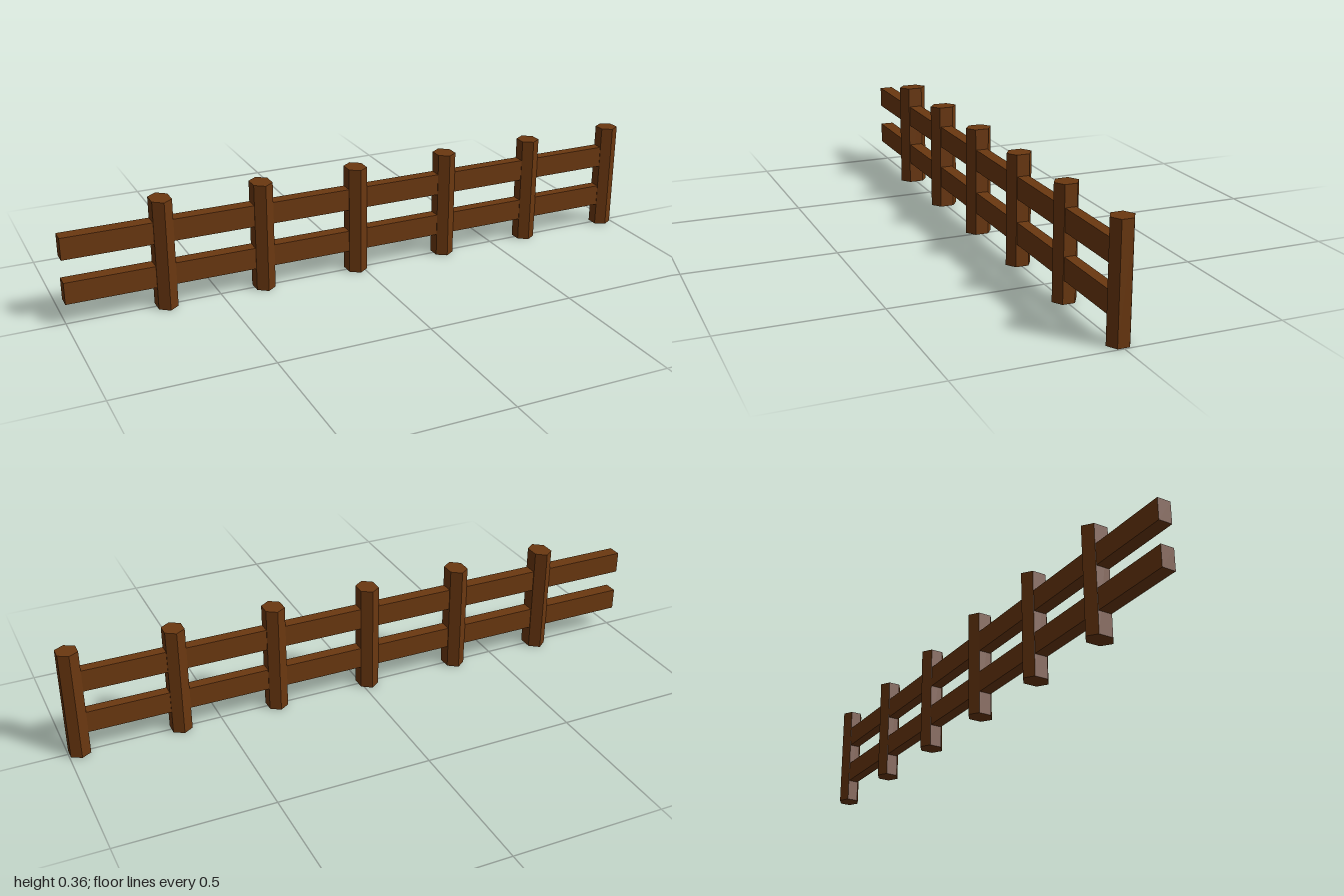
import * as THREE from 'three';

const POSTS = 6, SPACING = 0.329, FIRST_X = -0.681;
const POST_HEIGHT = 0.363, RAIL_HEIGHT = 0.072, RAIL_CENTRES = [0.111, 0.258];

export function createModel() {
  const fence = new THREE.Group();
  fence.name = 'fence';
  const wood = new THREE.MeshStandardMaterial({ color: 0x6b3810, flatShading: true });
  wood.name = 'brown wood';

  // Hexagonal post with its corners pointing front and back
  const postGeometry = new THREE.CylinderGeometry(1, 1, POST_HEIGHT, 6);

  // Each section is a post plus the two rails to its right, thinning along the fence
  for (let i = 0; i < POSTS; i++) {
    const section = new THREE.Group();
    section.name = `section${i + 1}`;
    const x = FIRST_X + i * SPACING;
    const t = i / (POSTS - 1);

    const post = new THREE.Mesh(postGeometry, wood);
    post.name = 'post';
    post.scale.set(0.0368, 1, THREE.MathUtils.lerp(0.049, 0.0375, t));
    post.position.set(x, POST_HEIGHT / 2, 0);
    section.add(post);

    const start = i === 0 ? -1 : x - SPACING;
    const depth = THREE.MathUtils.lerp(0.046, 0.035, t);
    for (const y of RAIL_CENTRES) {
      const rail = new THREE.Mesh(new THREE.BoxGeometry(x - start, RAIL_HEIGHT, depth), wood);
      rail.name = y === RAIL_CENTRES[0] ? 'lowerRail' : 'upperRail';
      rail.position.set((start + x) / 2, y, 0);
      section.add(rail);
    }
    fence.add(section);
  }
  return fence;
}
